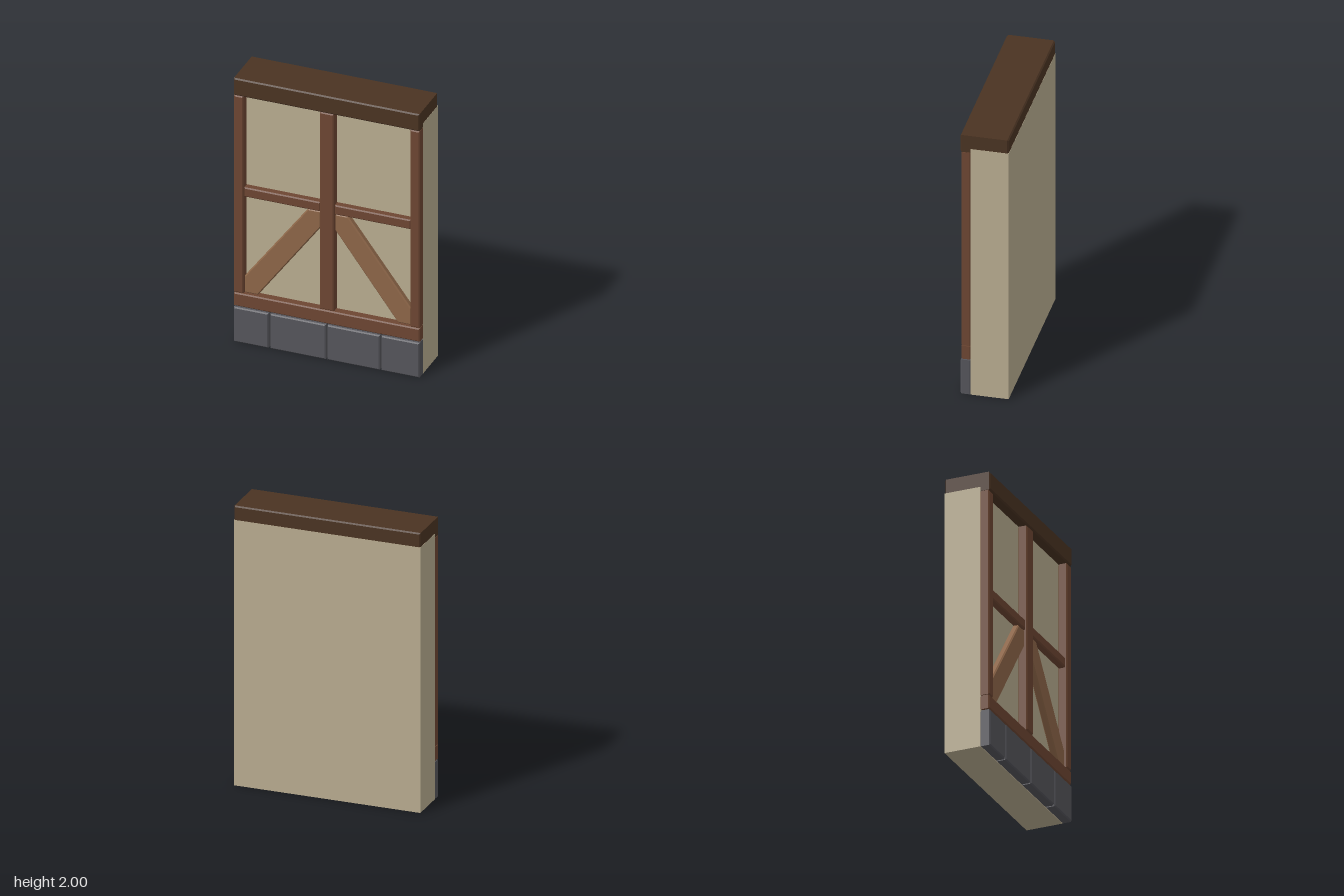
import * as THREE from 'three';

const mat = (name, color) => {
  const m = new THREE.MeshStandardMaterial({ color });
  m.name = name;
  return m;
};

export function createModel() {
  const group = new THREE.Group();
  const plaster = mat('plaster', 0xb8ac90);
  const darkWood = mat('darkWood', 0x4a3322);
  const wood = mat('wood', 0x6d4632);
  const lightWood = mat('lightWood', 0x8d6648);
  const stone = mat('stone', 0x55555b);

  // Prism from an outline, chamfered round its front and back edges
  const prism = (name, material, points, z0, z1, bevel) => {
    const shape = new THREE.Shape(points.map(([x, y]) => new THREE.Vector2(x, y)));
    const geometry = new THREE.ExtrudeGeometry(shape, {
      depth: z1 - z0 - 2 * bevel,
      bevelEnabled: true,
      bevelSegments: 1,
      bevelSize: bevel,
      bevelThickness: bevel,
      bevelOffset: -bevel,
    });
    geometry.translate(0, 0, z0 + bevel);
    const mesh = new THREE.Mesh(geometry, material);
    mesh.name = name;
    group.add(mesh);
  };
  const block = (name, material, x0, x1, y0, y1, z0, z1, bevel = 0.008) =>
    prism(name, material, [[x0, y0], [x1, y0], [x1, y1], [x0, y1]], z0, z1, bevel);

  // Plaster wall
  const wall = new THREE.Mesh(new THREE.BoxGeometry(1.33, 1.9, 0.26), plaster);
  wall.position.set(0, 0.95, -0.035);
  wall.name = 'wall';
  group.add(wall);

  // Top beam, sill and centre post
  block('topBeam', darkWood, -0.664, 0.664, 1.87, 2, -0.164, 0.165, 0.009);
  block('sill', wood, -0.665, 0.665, 0.27, 0.37, 0.093, 0.16);
  block('centrePost', wood, -0.05, 0.05, 0.374, 1.868, 0.093, 0.16);

  // Foundation stones
  const joints = [-0.67, -0.41, 0, 0.386, 0.67];
  for (let i = 0; i < 4; i++) {
    block('foundationStone', stone, joints[i] + 0.006, joints[i + 1] - 0.006, 0, 0.262, 0.093, 0.165);
  }

  // Outer posts, rails and diagonal braces, mirrored about the centre
  for (const s of [-1, 1]) {
    const span = (a, b) => (s > 0 ? [a, b] : [-b, -a]);
    block('outerPost', wood, ...span(0.598, 0.665), 0.374, 1.868, 0.093, 0.16);
    block('rail', wood, ...span(0.052, 0.596), 1.105, 1.176, 0.093, 0.15);
    const outline = [[0.595, 0.374], [0.595, 0.5], [0.142, 1.103], [0.052, 1.103], [0.052, 0.98], [0.5, 0.374]];
    prism('brace', lightWood, outline.map(([x, y]) => [s * x, y]), 0.093, 0.14, 0.008);
  }
  return group;
}
